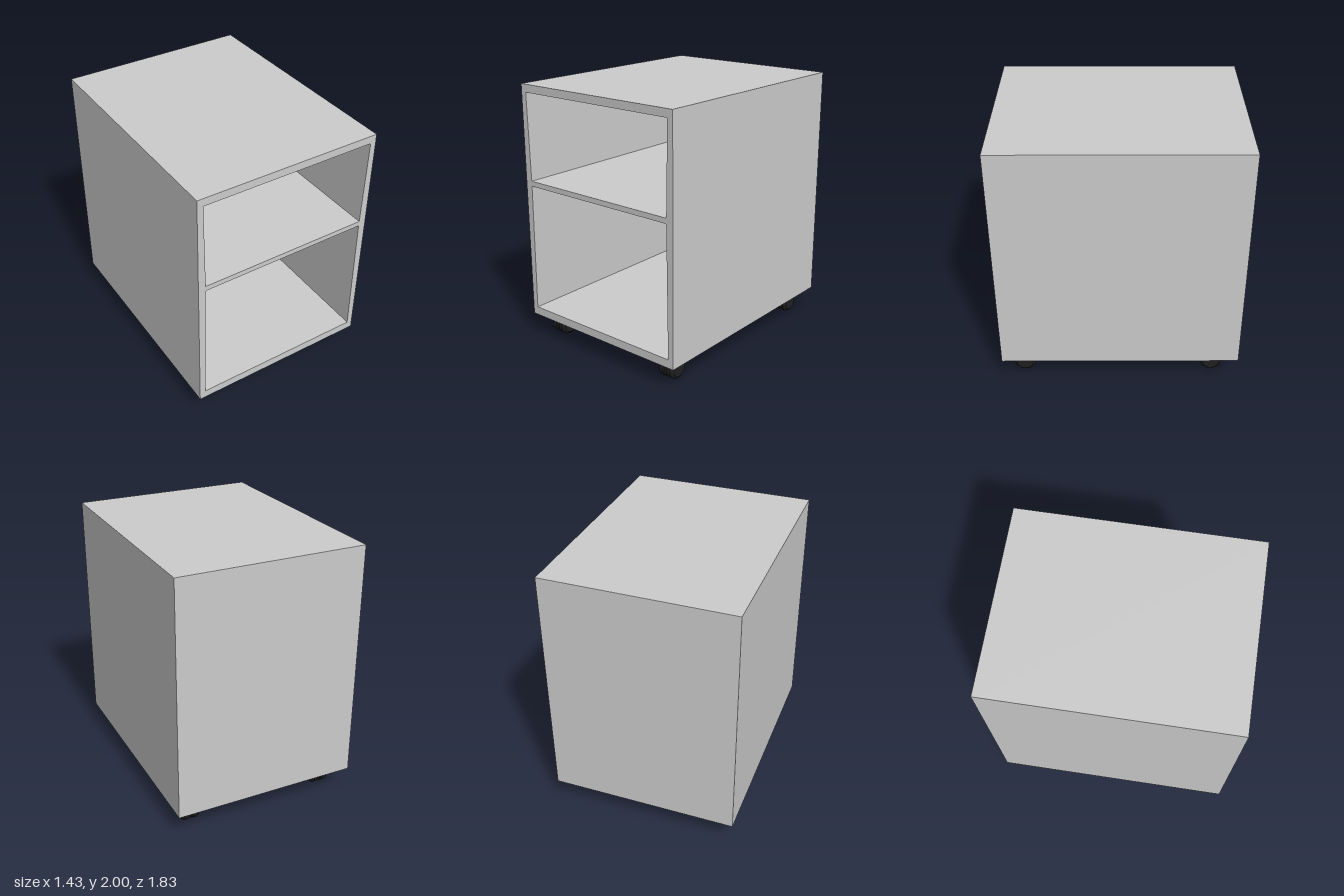
import * as THREE from 'three';
import { toCreasedNormals } from 'three/addons/utils/BufferGeometryUtils.js';

const W = 0.717, BOTTOM = 0.17, TOP = 2, D = 0.916, BACK = 0.05;

// Closed four-sided outline, symmetric about x = 0
function trapezoid(Type, y0, half0, y1, half1) {
  return new Type([[-half0, y0], [half0, y0], [half1, y1], [-half1, y1]]
    .map(([x, y]) => new THREE.Vector2(x, y)));
}

export function createModel() {
  const model = new THREE.Group();
  model.name = 'rollingCabinet';
  const grey = new THREE.MeshStandardMaterial({ color: 0xcccccc });
  const black = new THREE.MeshStandardMaterial({ color: 0x202020 });

  // Cabinet shell: outer frame with two open compartments and a shelf between
  const frame = trapezoid(THREE.Shape, BOTTOM, W, TOP, W);
  frame.holes.push(
    trapezoid(THREE.Path, 0.235, 0.672, 1.23, 0.66),
    trapezoid(THREE.Path, 1.27, 0.66, 1.94, 0.672));
  const shell = new THREE.Mesh(
    new THREE.ExtrudeGeometry(frame, { depth: 2 * D - BACK, bevelEnabled: false }), grey);
  shell.name = 'cabinetShell';
  shell.position.z = BACK - D;
  model.add(shell);

  // Back panel closing the compartments
  const back = new THREE.Mesh(new THREE.BoxGeometry(2 * W, TOP - BOTTOM, BACK), grey);
  back.name = 'backPanel';
  back.position.set(0, (TOP + BOTTOM) / 2, BACK / 2 - D);
  model.add(back);

  // Twin-wheel casters; the wheel profile runs from inner face to rounded outer face
  const R = 0.082;
  const profile = [[0, 0.007], [R - 0.006, 0.007], [R, 0.014], [R, 0.05],
    [R - 0.007, 0.06], [R - 0.02, 0.069], [0, 0.069]]
    .map(([r, h]) => new THREE.Vector2(r, h));
  const wheelGeo = toCreasedNormals(new THREE.LatheGeometry(profile, 32), 0.6);

  for (const x of [-0.547, 0.565]) {
    for (const z of [0.748, -0.717]) {
      const caster = new THREE.Group();
      caster.name = 'caster';
      caster.position.set(x, R, z);
      for (const side of [-1, 1]) {
        const wheel = new THREE.Mesh(wheelGeo, black);
        wheel.name = 'casterWheel';
        wheel.rotation.z = -side * Math.PI / 2;
        caster.add(wheel);
      }
      model.add(caster);
    }
  }
  return model;
}
